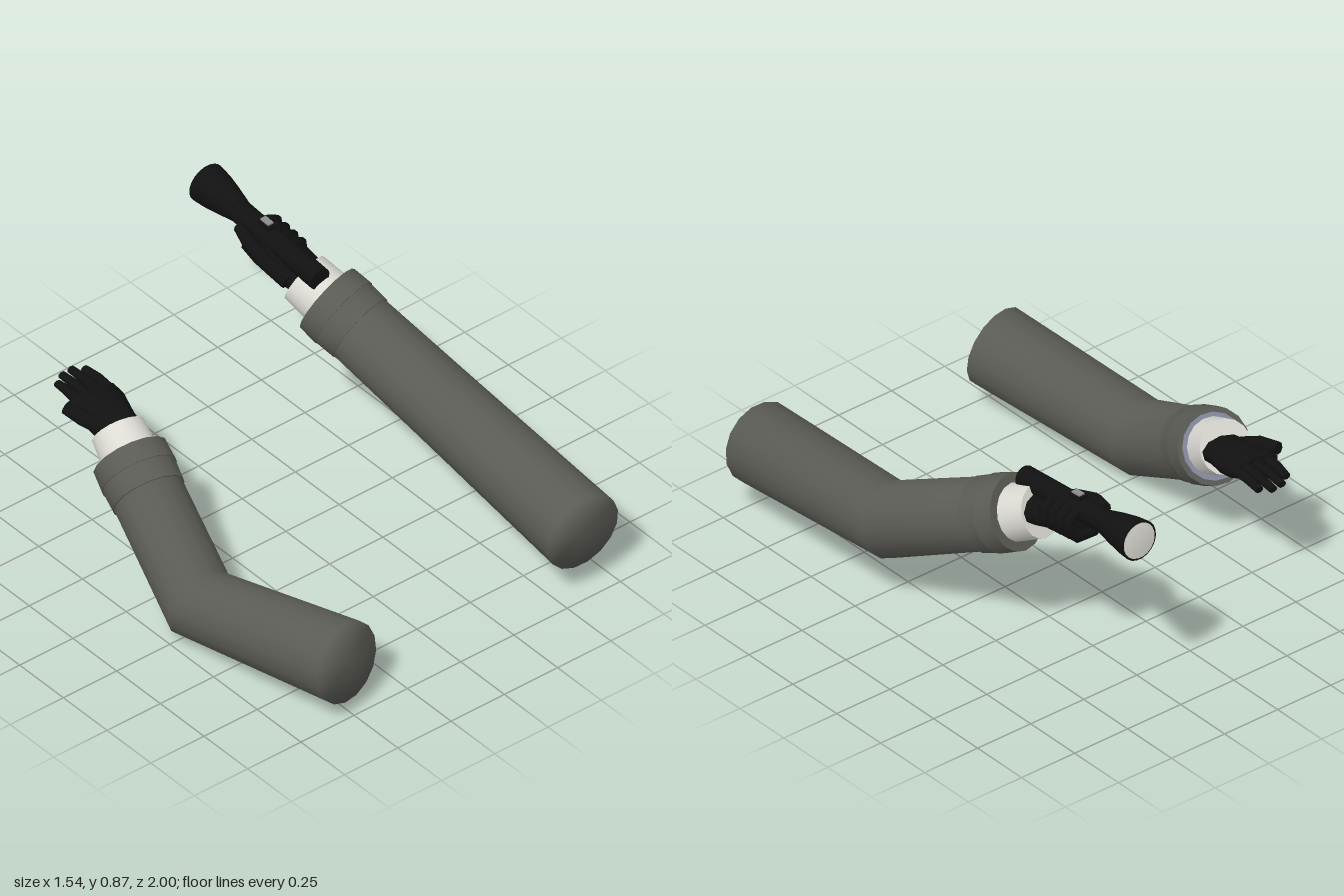
import * as THREE from 'three';

const mat = (name, color) => {
  const m = new THREE.MeshStandardMaterial({ color });
  m.name = name;
  return m;
};

// Skins a row of elliptical rings [x, y, z, width radius, height radius] and closes both ends.
function loft(name, material, rings, { sides = 16, up = [0, 1, 0], softEnds = false } = {}) {
  const pts = rings.map(r => new THREE.Vector3(r[0], r[1], r[2]));
  const upVec = new THREE.Vector3(...up);
  const pos = [], index = [], last = pts.length - 1;
  rings.forEach((r, i) => {
    const dir = new THREE.Vector3();
    if (i > 0) dir.add(pts[i].clone().sub(pts[i - 1]).normalize());
    if (i < last) dir.add(pts[i + 1].clone().sub(pts[i]).normalize());
    dir.normalize();
    const u = upVec.clone().cross(dir).normalize();
    const v = dir.clone().cross(u);
    for (let j = 0; j < sides; j++) {
      const a = (j + 0.5) / sides * Math.PI * 2;
      const p = pts[i].clone()
        .addScaledVector(u, Math.cos(a) * r[3])
        .addScaledVector(v, Math.sin(a) * (r[4] ?? r[3]));
      pos.push(p.x, p.y, p.z);
    }
  });
  for (let i = 0; i < last; i++) {
    for (let j = 0; j < sides; j++) {
      const k = (j + 1) % sides;
      const a = i * sides + j, b = i * sides + k;
      index.push(a, b, a + sides, b, b + sides, a + sides);
    }
  }
  for (const end of [0, last]) {
    let base = end * sides;
    if (!softEnds) {
      const copy = pos.slice(base * 3, (base + sides) * 3);
      base = pos.length / 3;
      pos.push(...copy);
    }
    const centre = pos.length / 3;
    pos.push(pts[end].x, pts[end].y, pts[end].z);
    for (let j = 0; j < sides; j++) {
      const k = (j + 1) % sides;
      if (end === 0) index.push(centre, base + k, base + j);
      else index.push(centre, base + j, base + k);
    }
  }
  const geo = new THREE.BufferGeometry();
  geo.setAttribute('position', new THREE.Float32BufferAttribute(pos, 3));
  geo.setIndex(index);
  geo.computeVertexNormals();
  const mesh = new THREE.Mesh(geo, material);
  mesh.name = name;
  return mesh;
}

export function createModel() {
  const sleeveGrey = mat('sleeveGrey', 0x5a5b54);
  const gloveBlack = mat('gloveBlack', 0x111111);
  const wristWhite = mat('wristWhite', 0xdcdad3);
  const liningBlue = mat('liningBlue', 0x8589a0);
  const buttonGrey = mat('buttonGrey', 0x8c8c8c);
  const model = new THREE.Group();
  model.name = 'arms';

  // Sleeve, two-band cuff and bare wrist shared by both arms
  function arm(name, shoulder, elbow, cuffEnd, wristEnd, lined) {
    const g = new THREE.Group();
    g.name = name;
    const e = new THREE.Vector3(...elbow), c = new THREE.Vector3(...cuffEnd);
    const dir = c.clone().sub(e).normalize();
    const back = d => c.clone().addScaledVector(dir, -d).toArray();
    g.add(loft('sleeve', sleeveGrey,
      [[...shoulder, 0.16], [...elbow, 0.146], [...back(0.14), 0.138]], { softEnds: true }));
    g.add(loft('cuffLowerBand', sleeveGrey, [[...back(0.165), 0.143], [...back(0.08), 0.147]]));
    g.add(loft('cuffUpperBand', sleeveGrey, [[...back(0.082), 0.15], [...back(0), 0.146]]));
    if (lined) g.add(loft('cuffLining', liningBlue, [[...back(0.02), 0.128], [...back(-0.006), 0.126]]));
    g.add(loft('wrist', wristWhite, [[...back(0.05), 0.112], [...wristEnd, 0.104]]));
    model.add(g);
    return g;
  }

  // Arm with the open hand
  const rightArm = arm('rightArm', [-0.51, 0.235, 0.97], [-0.625, 0.147, 0.27],
    [-0.51, 0.435, -0.27], [-0.488, 0.49, -0.365], true);
  const openHand = new THREE.Group();
  openHand.name = 'openHand';
  openHand.add(loft('palm', gloveBlack, [
    [-0.483, 0.475, -0.33, 0.088, 0.05], [-0.475, 0.493, -0.41, 0.092, 0.05],
    [-0.462, 0.51, -0.5, 0.108, 0.046], [-0.457, 0.52, -0.565, 0.108, 0.032]], { sides: 10 }));
  openHand.add(loft('thumb', gloveBlack, [
    [-0.53, 0.5, -0.4, 0.03], [-0.565, 0.522, -0.47, 0.032], [-0.588, 0.535, -0.545, 0.024]], { sides: 8 }));
  [[-0.52, -0.505, -0.69], [-0.475, -0.46, -0.72], [-0.428, -0.414, -0.725], [-0.385, -0.374, -0.695]]
    .forEach(([x0, x1, tip]) => openHand.add(loft('finger', gloveBlack, [
      [x0, 0.525, -0.54, 0.023, 0.02], [(x0 + x1) / 2, 0.53, -0.62, 0.021, 0.017],
      [x1, 0.52, tip, 0.017, 0.014]], { sides: 8 })));
  rightArm.add(openHand);

  // Arm with the closed hand
  const leftArm = arm('leftArm', [0.6, 0.287, 0.97], [0.625, 0.357, 0.2],
    [0.49, 0.62, -0.36], [0.465, 0.668, -0.462], false);
  const fist = new THREE.Group();
  fist.name = 'grippingHand';
  fist.add(loft('palm', gloveBlack, [
    [0.468, 0.675, -0.44, 0.088, 0.056], [0.452, 0.7, -0.53, 0.1, 0.055],
    [0.445, 0.72, -0.61, 0.1, 0.05], [0.445, 0.73, -0.69, 0.09, 0.04]], { sides: 10 }));
  fist.add(loft('thumb', gloveBlack, [
    [0.39, 0.69, -0.46, 0.036], [0.365, 0.73, -0.56, 0.032],
    [0.362, 0.765, -0.65, 0.028], [0.38, 0.78, -0.73, 0.022]], { sides: 8 }));
  for (let i = 0; i < 4; i++) {
    const z = -0.69 + i * 0.047, y = -0.006 * i;
    fist.add(loft('curledFinger', gloveBlack, [
      [0.4, 0.675 + y, z, 0.024], [0.48, 0.68 + y, z, 0.026], [0.525, 0.72 + y, z, 0.025],
      [0.52, 0.765 + y, z, 0.023], [0.48, 0.79 + y, z, 0.018]], { sides: 8, up: [0, 0, 1] }));
  }
  leftArm.add(fist);

  // Hand torch with flared head, lens and switch
  const torch = new THREE.Group();
  torch.name = 'torch';
  torch.add(loft('torchBody', gloveBlack, [[0.44, 0.743, -0.342, 0.045], [0.44, 0.783, -0.81, 0.045]]));
  torch.add(loft('torchHead', gloveBlack, [
    [0.44, 0.783, -0.8, 0.046], [0.44, 0.79, -0.88, 0.064],
    [0.44, 0.795, -0.94, 0.075], [0.44, 0.798, -0.992, 0.08]], { sides: 20 }));
  torch.add(loft('lens', wristWhite, [[0.44, 0.798, -0.99, 0.073], [0.44, 0.7985, -0.997, 0.07]],
    { sides: 20, softEnds: true }));
  const box = (name, material, w, h, d, y) => {
    const m = new THREE.Mesh(new THREE.BoxGeometry(w, h, d), material);
    m.name = name;
    m.position.set(0.44, y, -0.645);
    m.rotation.x = 0.085;
    torch.add(m);
  };
  box('switchHousing', gloveBlack, 0.04, 0.03, 0.065, 0.811);
  box('switchButton', buttonGrey, 0.026, 0.012, 0.045, 0.826);
  leftArm.add(torch);

  return model;
}
